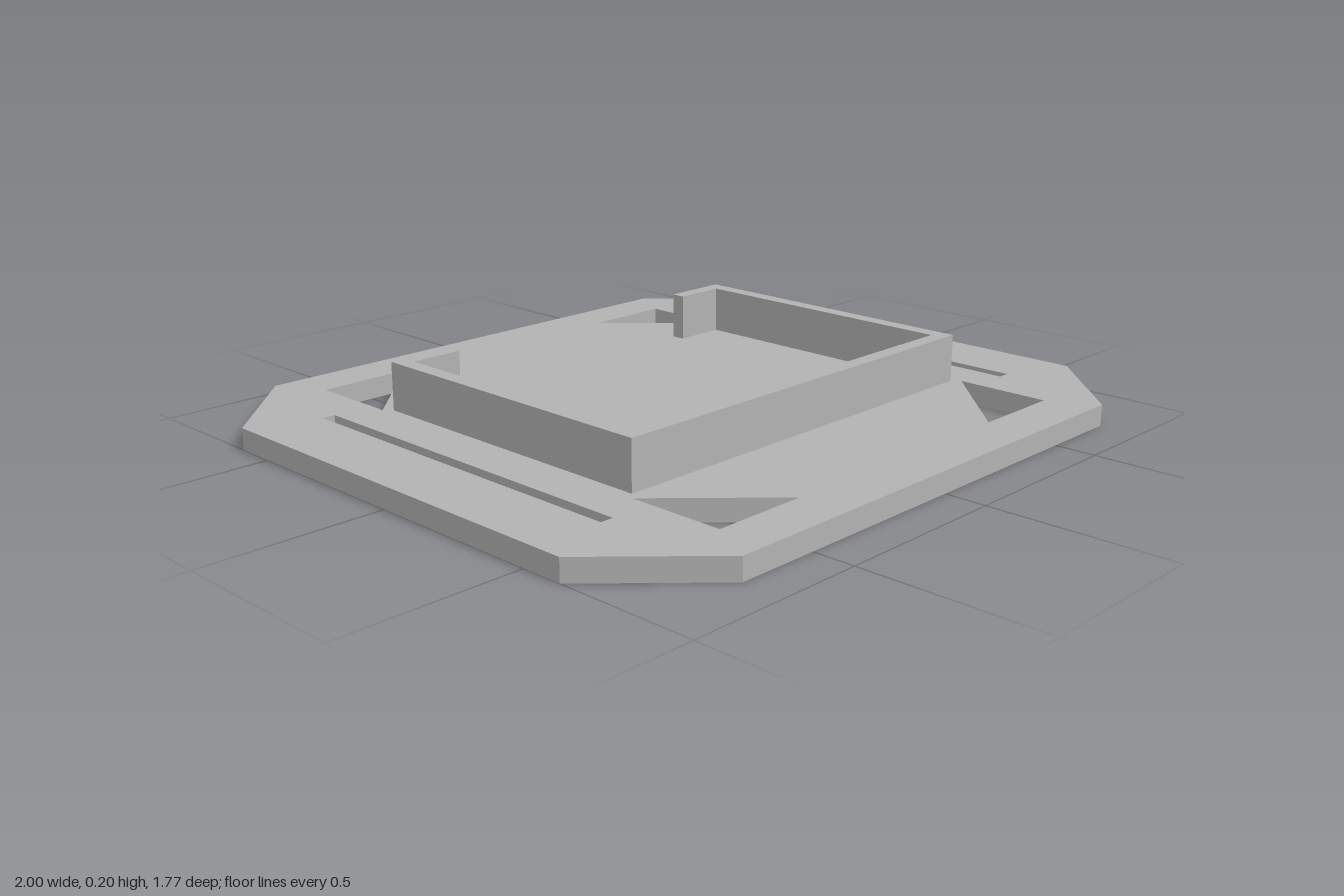
import * as THREE from 'three';

const PLATE_TOP = 0.06, WALL_TOP = 0.195, SLOT_FLOOR = 0.02;
const SLOT = { inner: 0.77, outer: 0.806, half: 0.535 };

const points = (list) => list.map(([x, z]) => new THREE.Vector2(x, -z));

// Extrudes an outline given in x, z upward from y0 to y1
function slab(outline, holes, y0, y1) {
  const shape = new THREE.Shape(points(outline));
  holes.forEach((h) => shape.holes.push(new THREE.Path(points(h))));
  const geometry = new THREE.ExtrudeGeometry(shape, { depth: y1 - y0, bevelEnabled: false });
  return geometry.rotateX(-Math.PI / 2).translate(0, y0, 0);
}

export function createModel() {
  const group = new THREE.Group();
  const grey = new THREE.MeshStandardMaterial({ color: 0xb2b2b2 });
  grey.name = 'grey';
  const add = (name, geometry) => {
    const mesh = new THREE.Mesh(geometry, grey);
    mesh.name = name;
    group.add(mesh);
    return mesh;
  };

  // Triangular corner cut-outs and long side slots
  const holes = [];
  for (const sx of [-1, 1]) {
    for (const sz of [-1, 1]) {
      holes.push([[0.655 * sx, 0.75 * sz], [0.385 * sx, 0.75 * sz], [0.655 * sx, 0.48 * sz]]);
    }
    holes.push([
      [SLOT.inner * sx, -SLOT.half], [SLOT.outer * sx, -SLOT.half],
      [SLOT.outer * sx, SLOT.half], [SLOT.inner * sx, SLOT.half],
    ]);
  }

  // Base plate with chamfered corners
  add('basePlate', slab([
    [-0.73, 0.885], [0.73, 0.885], [1, 0.615], [1, -0.615],
    [0.73, -0.885], [-0.73, -0.885], [-1, -0.615], [-1, 0.615],
  ], holes, 0, PLATE_TOP));

  // Floors closing the slots from below, so they read as grooves
  for (const sx of [-1, 1]) {
    const floor = add(sx > 0 ? 'leftGrooveFloor' : 'rightGrooveFloor',
      new THREE.BoxGeometry(SLOT.outer - SLOT.inner, SLOT_FLOOR, 2 * SLOT.half));
    floor.position.set(sx * (SLOT.inner + SLOT.outer) / 2, SLOT_FLOOR / 2, 0);
  }

  // Raised wall, open at the back between two short return lips
  add('raisedWall', slab([
    [-0.635, 0.457], [0.635, 0.457], [0.635, -0.457], [0.44, -0.457],
    [0.44, -0.415], [0.592, -0.415], [0.592, 0.413], [-0.592, 0.413],
    [-0.592, -0.415], [-0.44, -0.415], [-0.44, -0.457], [-0.635, -0.457],
  ], [], PLATE_TOP, WALL_TOP));

  return group;
}
